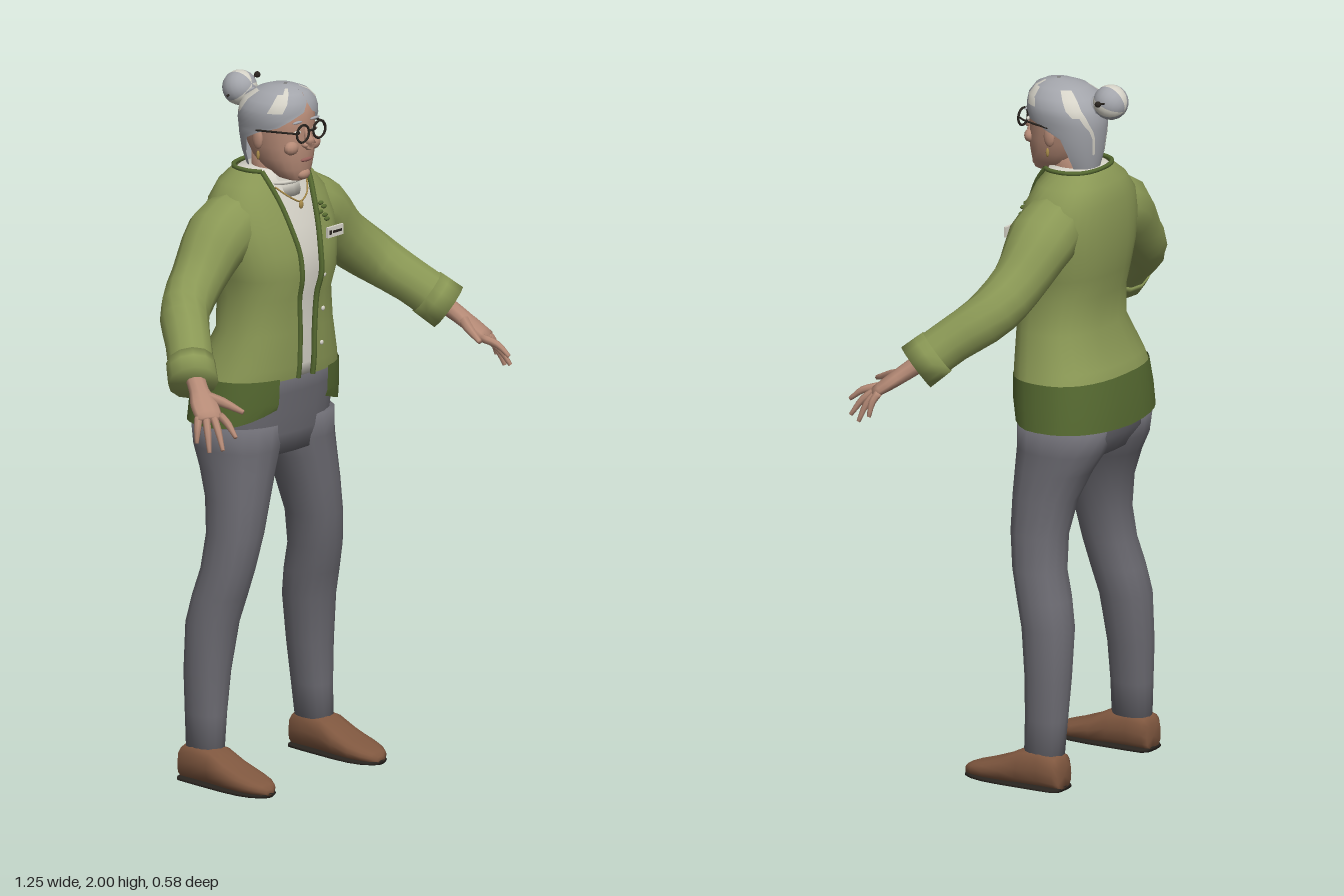
import * as THREE from 'three';

const V = (x, y, z) => new THREE.Vector3(x, y, z);
const mat = (name, color, double) => {
  const m = new THREE.MeshStandardMaterial({ color });
  m.name = name;
  if (double) m.side = THREE.DoubleSide;
  return m;
};

// Skin a list of point rings; pick(i, j) chooses the material index of each quad
function loft(rings, { closed = true, cap0 = true, cap1 = true, pick = null } = {}) {
  const n = rings[0].length, pos = [], lists = [[], []];
  rings.flat().forEach(p => pos.push(p.x, p.y, p.z));
  for (let i = 0; i < rings.length - 1; i++) {
    for (let j = 0; j < (closed ? n : n - 1); j++) {
      const k = (j + 1) % n, a = i * n + j, b = i * n + k, c = b + n, d = a + n;
      lists[pick && pick(i, j) ? 1 : 0].push(a, b, c, a, c, d);
    }
  }
  const cap = (r, flip) => {
    const m = rings[r].reduce((s, p) => s.add(p), V(0, 0, 0)).divideScalar(n), c = pos.length / 3;
    pos.push(m.x, m.y, m.z);
    for (let j = 0; j < n; j++) {
      const a = r * n + j, b = r * n + (j + 1) % n;
      lists[0].push(c, flip ? b : a, flip ? a : b);
    }
  };
  if (cap0) cap(0, true);
  if (cap1) cap(rings.length - 1, false);
  const g = new THREE.BufferGeometry();
  g.setAttribute('position', new THREE.Float32BufferAttribute(pos, 3));
  g.setIndex([...lists[0], ...lists[1]]);
  if (pick) {
    g.addGroup(0, lists[0].length, 0);
    g.addGroup(lists[0].length, lists[1].length, 1);
  }
  g.computeVertexNormals();
  return g;
}

// Horizontal superellipse ring starting at the front; gap leaves an open front
const sp = (v, e) => Math.sign(v) * Math.abs(v) ** e;
function ring(cx, y, rx, zF, zB, seg = 16, n = 2, gap = 0) {
  const count = gap === 0 ? seg : seg + 1;
  return Array.from({ length: count }, (_, j) => {
    const a = gap + (2 * Math.PI - 2 * gap) * j / seg;
    return V(cx + rx * sp(Math.sin(a), 2 / n), y, (zF + zB) / 2 + (zF - zB) / 2 * sp(Math.cos(a), 2 / n));
  });
}

// Tapered limb along points [x, y, z, width, thickness]
function limb(pts, seg = 10, steps = pts.length * 2) {
  const curve = new THREE.CatmullRomCurve3(pts.map(p => V(p[0], p[1], p[2])));
  const rings = [];
  for (let i = 0; i <= steps; i++) {
    const u = i / steps, f = u * (pts.length - 1), k = Math.min(Math.floor(f), pts.length - 2);
    const w = THREE.MathUtils.lerp(pts[k][3], pts[k + 1][3], f - k);
    const h = THREE.MathUtils.lerp(pts[k][4] ?? pts[k][3], pts[k + 1][4] ?? pts[k + 1][3], f - k);
    const t = curve.getTangent(u), s = V(0, 1, 0).cross(t).normalize(), m = t.clone().cross(s), c = curve.getPoint(u);
    rings.push(Array.from({ length: seg }, (_, j) => {
      const a = 2 * Math.PI * j / seg;
      return c.clone().addScaledVector(s, w * Math.cos(a)).addScaledVector(m, h * Math.sin(a));
    }));
  }
  return loft(rings);
}

function mirrored(geo) {
  const g = geo.clone().scale(-1, 1, 1), ix = g.index.array;
  for (let i = 0; i < ix.length; i += 3) [ix[i], ix[i + 1]] = [ix[i + 1], ix[i]];
  return g;
}
const ball = (x, y, z, rx, ry = rx, rz = rx) => new THREE.SphereGeometry(1, 12, 8).scale(rx, ry, rz).translate(x, y, z);
const box = (x, y, z, w, h, d) => new THREE.BoxGeometry(w, h, d).translate(x, y, z);
const tube = (pts, r, n = 20) => new THREE.TubeGeometry(new THREE.CatmullRomCurve3(pts), n, r, 6);

export function createModel() {
  const root = new THREE.Group();
  root.name = 'elderlyWoman';
  const green = mat('cardiganGreen', 0x8a9855, true), trim = mat('darkGreenTrim', 0x566a31, true);
  const grey = mat('trouserGrey', 0x6b6a71), brown = mat('shoeBrown', 0x7f573f), black = mat('nearBlack', 0x29241f);
  const skin = mat('skin', 0xb58a76), hairM = mat('hairGrey', 0xa3a5ab, true), cream = mat('offWhite', 0xd6d3c8, true);
  const gold = mat('gold', 0xa88b4a), lip = mat('lips', 0x96605a);
  const add = (name, geo, m) => {
    const mesh = new THREE.Mesh(geo, m);
    mesh.name = name;
    root.add(mesh);
  };
  const pair = (name, geo, m) => {
    add(name + 'Left', geo, m);
    add(name + 'Right', mirrored(geo), m);
  };

  // Cardigan body: y, half width, front z, back z, half opening
  const body = [[1.165, .23, .03, -.27, .03], [1.2, .218, .035, -.26, .03], [1.3, .184, .038, -.213, .03],
    [1.4, .173, .042, -.22, .036], [1.46, .187, .056, -.232, .04], [1.53, .2, .05, -.242, .043],
    [1.6, .205, .03, -.243, .055], [1.67, .19, .003, -.238, .068], [1.72, .15, -.018, -.222, .08], [1.758, .105, -.03, -.19, .086]];
  const bodyRings = body.map(([y, rx, f, b, w]) => ring(0, y, rx, f, b, 28, 2.4, Math.asin((w / rx) ** 1.2)));
  add('cardiganBody', loft(bodyRings, { closed: false, cap0: false, cap1: false }), green);
  add('cardiganEdgeLeft', tube(bodyRings.map(r => r[0]), .008, 36), trim);
  add('cardiganEdgeRight', tube(bodyRings.map(r => r[28]), .008, 36), trim);
  add('cardiganCollar', tube(bodyRings[9], .007, 36), trim);
  const hem = [[1.035, .244, .022, -.288], [1.1, .24, .03, -.283], [1.172, .232, .034, -.272]].map(([y, rx, f, b], i) => {
    const r = ring(0, y, rx, f, b, 28, 2.4, Math.asin((.1 / rx) ** 1.2));
    if (i === 0) r.forEach(p => { p.y += .05 * Math.max(0, 1 - Math.abs(p.x) / .24) * (p.z > -.1 ? 1.6 : -.2); });
    return r;
  });
  add('cardiganHem', loft(hem, { closed: false, cap0: false, cap1: false }), trim);

  // Sleeves with flared cuffs
  pair('sleeve', limb([[.09, 1.63, -.11, .085], [.19, 1.587, -.115, .1, .098], [.29, 1.492, -.105, .077, .08],
    [.39, 1.41, -.07, .07, .073], [.465, 1.335, .015, .065], [.525, 1.268, .085, .066]], 12, 14), green);
  pair('cuff', limb([[.49, 1.308, .043, .069], [.528, 1.265, .088, .071]], 12, 2), green);

  // Hands: palm, four fingers and thumb
  pair('palm', limb([[.5, 1.295, .06, .03, .027], [.535, 1.25, .115, .028, .024], [.555, 1.218, .155, .042, .02],
    [.575, 1.187, .195, .04, .015]], 10), skin);
  [[.566, 1.15, .284], [.596, 1.115, .262], [.612, 1.105, .226], [.621, 1.127, .186]].forEach((e, i) => {
    const k = -.032 + i * .0215, s = [.569 + k * .84, 1.193, .188 - k * .54];
    pair('finger' + (i + 1), limb([[...s, .012], [(s[0] + e[0]) / 2 + .003, (s[1] + e[1]) / 2 + .008, (s[2] + e[2]) / 2 + .003, .0105], [...e, .006]], 7), skin);
  });
  pair('thumb', limb([[.54, 1.24, .13, .017], [.51, 1.222, .185, .014], [.49, 1.2, .243, .007]], 7), skin);

  // Shirt under the cardigan and its rolled collar
  add('shirt', loft(body.map(([y, rx, f, b]) => ring(0, y, rx - .014, f - .01, b + .014, 24, 2.4))), cream);
  add('shirtCollar', loft([[1.68, .09, -.008, -.19], [1.71, .08, -.016, -.18], [1.735, .074, -.018, -.175], [1.752, .066, -.024, -.168]]
    .map(s => ring(0, ...s))), cream);
  add('collarFold', tube(ring(0, 1.722, .078, -.012, -.18).concat(ring(0, 1.722, .078, -.012, -.18)[0]), .006, 30), cream);

  // Trousers
  add('trouserHips', loft([[.94, .19, -.01, -.23], [1, .217, .002, -.268], [1.06, .223, .008, -.274], [1.12, .222, .014, -.265], [1.19, .2, .02, -.24]]
    .map(s => ring(0, ...s, 24, 2.4))), grey);
  pair('trouserLeg', loft([[.1, .18, .27, -.083, -.203], [.2, .167, .272, -.084, -.208], [.32, .15, .275, -.08, -.214],
    [.46, .128, .272, -.064, -.214], [.54, .116, .264, -.042, -.198], [.62, .108, .252, -.02, -.176], [.72, .088, .238, -.004, -.17],
    [.82, .06, .228, 0, -.188], [.9, .03, .222, .001, -.222], [.96, .002, .22, .002, -.255], [1.03, -.01, .22, .004, -.268]]
    .map(([y, a, b, f, k]) => ring((a + b) / 2, y, (b - a) / 2, f, k, 16, 2.2))), grey);

  // Shoes, lofted heel to toe over a flat dark sole
  const foot = [[-.212, .036, .08], [-.2, .049, .103], [-.15, .054, .117], [-.085, .058, .108], [-.03, .061, .08],
    [.03, .06, .058], [.07, .05, .046], [.096, .034, .036], [.106, .015, .024]];
  const footRings = (lo, top, grow) => foot.map(([z, w, h]) => Array.from({ length: 14 }, (_, j) => {
    const a = 2 * Math.PI * j / 14, hi = top ?? h;
    return V(.23 + (w + grow) * sp(Math.cos(a), .75), (lo + hi) / 2 + (hi - lo) / 2 * sp(Math.sin(a), .7), z);
  }));
  pair('shoe', loft(footRings(.006, null, 0)), brown);
  pair('sole', loft(footRings(0, .013, .002)), black);

  // Head and neck
  add('neck', loft([[1.68, .062, -.02, -.165], [1.74, .056, -.035, -.155], [1.8, .058, -.03, -.155]].map(s => ring(0, ...s))), skin);
  add('head', loft([[1.73, .022, .016, -.03], [1.738, .042, .026, -.06], [1.765, .062, .032, -.11], [1.795, .075, .036, -.145],
    [1.83, .083, .038, -.165], [1.862, .086, .035, -.175], [1.885, .088, .037, -.18], [1.92, .09, .034, -.178], [1.955, .078, .02, -.15]]
    .map(s => ring(0, ...s, 20, 2.2))), skin);
  add('nose', limb([[0, 1.885, .028, .01], [0, 1.862, .04, .011], [0, 1.842, .049, .016], [0, 1.832, .036, .013]], 8), skin);
  pair('nostril', ball(.013, 1.839, .04, .009, .008, .011), skin);
  pair('cheek', ball(.045, 1.832, .018, .025, .02, .018), skin);
  add('chin', ball(0, 1.75, .022, .024, .016, .016), skin);
  add('mouth', ball(0, 1.794, .034, .024, .006, .007), lip);
  pair('ear', ball(.088, 1.852, -.07, .01, .03, .018), skin);
  pair('earring', ball(.091, 1.806, -.066, .005, .013, .005), gold);
  pair('eyeWhite', ball(.034, 1.877, .031, .014, .006, .006), cream);
  pair('iris', ball(.034, 1.877, .035, .0055, .0055, .004), black);
  pair('eyebrow', ball(.036, 1.907, .033, .02, .004, .005), hairM);

  // Round glasses
  pair('glassesRim', new THREE.TorusGeometry(.025, .0035, 6, 20).translate(.034, 1.878, .052), black);
  add('glassesBridge', tube([V(-.011, 1.88, .052), V(0, 1.884, .055), V(.011, 1.88, .052)], .003, 6), black);
  pair('glassesTemple', tube([V(.058, 1.882, .051), V(.087, 1.885, .01), V(.095, 1.878, -.07)], .003, 10), black);

  // Hair: y, half width, front z, back z, front opening in degrees
  const hair = [[1.755, .062, -.01, -.172, 118], [1.8, .082, .01, -.182, 112], [1.85, .094, .03, -.188, 104], [1.873, .098, .038, -.19, 84],
    [1.893, .101, .042, -.191, 52], [1.915, .103, .042, -.188, 30], [1.934, .102, .041, -.182, 8], [1.96, .092, .036, -.165, .1],
    [1.983, .066, .02, -.13, .1], [1.995, .036, -.005, -.095, .1], [2, .006, -.04, -.05, .1]];
  const streak = (i, j) => {
    const k = Math.min(j, 27 - j);
    return (i >= 6 && i < 9 && (k === 3 || k === 4 && i < 8)) || (i >= 1 && i < 8 && (k === 10 || k === 9 && i > 4));
  };
  add('hair', loft(hair.map(([y, rx, f, b, g]) => ring(0, y, rx, f, b, 28, 2.15, g * Math.PI / 180)),
    { closed: false, cap0: false, cap1: false, pick: streak }), [hairM, cream]);

  // Bun of alternating locks with a hair pin
  for (let i = 0; i < 10; i++) {
    const lock = new THREE.SphereGeometry(.05, 3, 10, i * Math.PI / 5, Math.PI / 5);
    add('bunLock' + (i + 1), lock.rotateX(Math.PI / 2 - .4).translate(0, 1.955, -.218), i % 3 === 1 ? cream : hairM);
  }
  add('bunBase', ball(0, 1.935, -.17, .03), hairM);
  add('hairPin', tube([V(-.06, 1.94, -.215), V(.085, 1.972, -.23)], .003, 2), black);
  add('hairPinBead', ball(.085, 1.972, -.23, .009), black);

  // Necklace, badge, brooch and buttons
  add('necklace', tube([V(-.066, 1.715, -.025), V(-.035, 1.685, .004), V(0, 1.668, .012), V(.035, 1.685, .004), V(.066, 1.715, -.025)], .0025), gold);
  add('pendant', ball(0, 1.658, .014, .008, .012, .005), gold);
  add('badge', box(.106, 1.566, .045, .064, .03, .008), cream);
  add('badgeBars', box(.112, 1.566, .0495, .036, .007, .002), black);
  add('badgeMark', box(.084, 1.566, .0495, .009, .012, .002), black);
  for (let i = 0; i < 5; i++) {
    add('broochLeaf' + (i + 1), ball(.085 + .011 * Math.sin(i * 2.2), 1.645 - i * .011, .01 + i * .0045, .01, .006, .006), trim);
  }
  [1.25, 1.35, 1.45].forEach((y, i) => add('button' + (i + 1), ball(.06, y, .037 + i * .005, .007, .007, .004), cream));
  return root;
}
